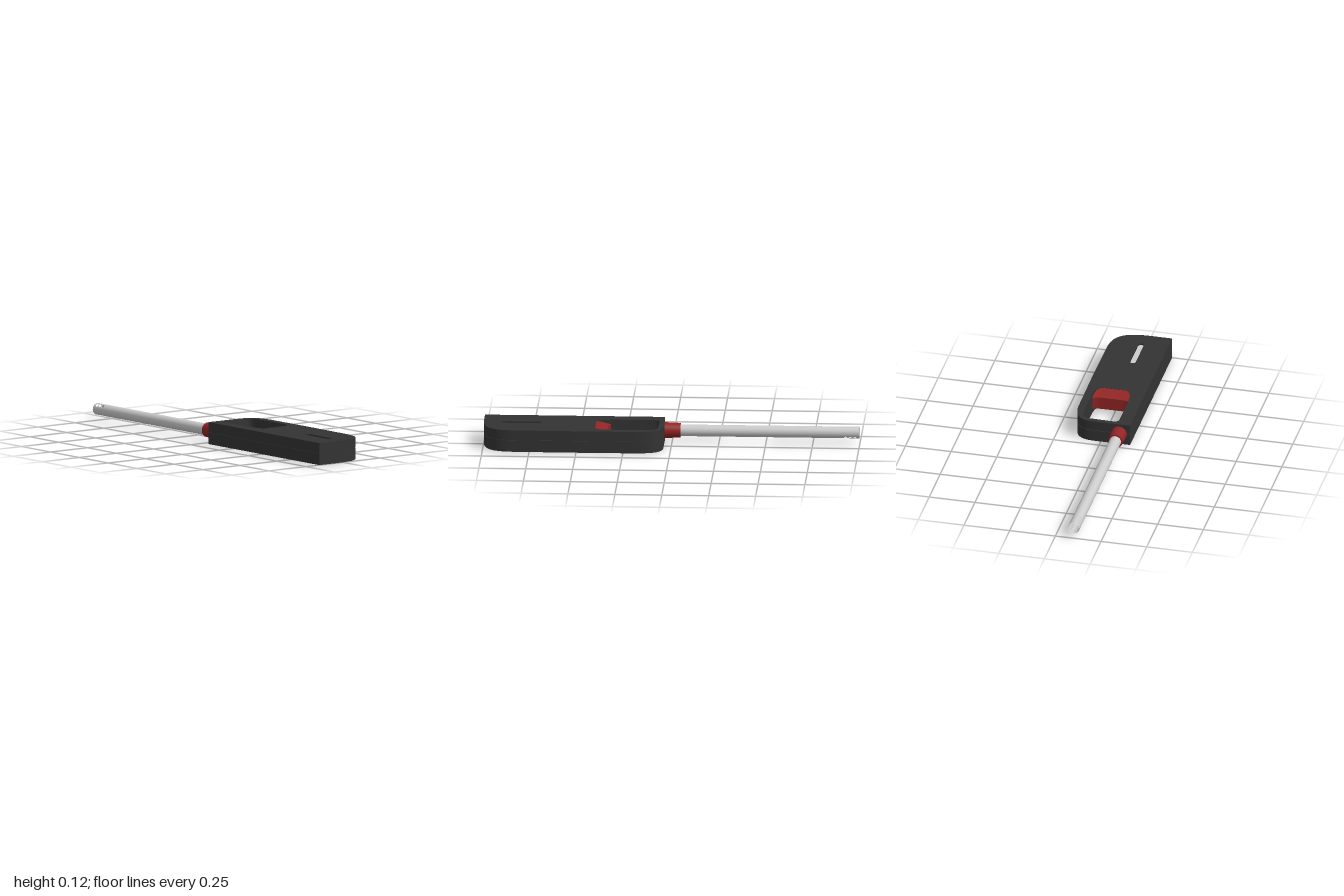
import * as THREE from 'three';
import { toCreasedNormals, mergeGeometries } from 'three/addons/utils/BufferGeometryUtils.js';
import { ParametricGeometry } from 'three/addons/geometries/ParametricGeometry.js';

const black = new THREE.MeshStandardMaterial({ color: 0x333333 });
const red = new THREE.MeshStandardMaterial({ color: 0x922424, side: THREE.DoubleSide });
const grey = new THREE.MeshStandardMaterial({ color: 0xcccccc, side: THREE.DoubleSide });

const TUBE_X = -0.1, TUBE_Y = 0.062, TUBE_R = 0.031;

function add(group, name, geometry, material) {
  const mesh = new THREE.Mesh(geometry, material);
  mesh.name = name;
  group.add(mesh);
  return mesh;
}

// Plan shapes are drawn in (x, -z) and extruded upwards
function outline(inset = 0) {
  const l = -0.16 + inset, r = 0.158 - inset, back = -0.04 - inset, front = -1 + inset;
  const s = new THREE.Shape();
  s.moveTo(l, front);
  s.lineTo(-0.03, front);
  s.bezierCurveTo(0.1, front + 0.005, r - 0.003, -0.96 + inset, r - 0.002, -0.82);
  s.lineTo(r, -0.5);
  s.lineTo(r - 0.002, -0.17);
  s.bezierCurveTo(r - 0.012, -0.075 - inset, 0.12, back - 0.002, 0.04, back);
  s.lineTo(l, back);
  s.closePath();
  return s;
}

function fingerHole() {
  const p = new THREE.Path();
  p.moveTo(-0.06, -0.065);
  p.lineTo(0.07, -0.068);
  p.quadraticCurveTo(0.108, -0.07, 0.112, -0.12);
  p.lineTo(0.116, -0.2);
  p.lineTo(0.115, -0.33);
  p.quadraticCurveTo(0.112, -0.4, 0.075, -0.402);
  p.lineTo(-0.05, -0.402);
  p.quadraticCurveTo(-0.08, -0.4, -0.085, -0.35);
  p.lineTo(-0.09, -0.31);
  p.lineTo(-0.09, -0.09);
  p.quadraticCurveTo(-0.09, -0.065, -0.06, -0.065);
  return p;
}

function windowSlot() {
  const p = new THREE.Path();
  p.absarc(-0.015, -0.71, 0.016, 0, Math.PI);
  p.absarc(-0.015, -0.895, 0.016, Math.PI, Math.PI * 2);
  p.closePath();
  return p;
}

function slab(y0, y1, inset, holes) {
  const shape = outline(inset);
  shape.holes.push(...holes);
  const g = new THREE.ExtrudeGeometry(shape, { depth: y1 - y0, bevelEnabled: false, curveSegments: 16 });
  g.rotateX(-Math.PI / 2).translate(0, y0, 0);
  return toCreasedNormals(g, 0.6);
}

// Point on the tube wall: angle t from the top, position z along it
function onTube(t, z, target) {
  target.set(TUBE_X + TUBE_R * Math.sin(t), TUBE_Y + TUBE_R * Math.cos(t), z);
}

function wall(t0, t1, z0, z1, segments) {
  return new ParametricGeometry((u, v, p) =>
    onTube(t0 + (t1 - t0) * u, z0 + (z1 - z0) * v, p), segments, 1);
}

// Square patch of the wall with a round vent in it
function ventPatch(t, z, halfT, halfZ) {
  return new ParametricGeometry((u, v, p) => {
    const a = -u * Math.PI * 2, c = Math.cos(a), s = Math.sin(a);
    const k = THREE.MathUtils.lerp(0.72, 1 / Math.max(Math.abs(c), Math.abs(s)), v);
    onTube(t + halfT * c * k, z + halfZ * s * k, p);
  }, 24, 3);
}

function tubeGeometry() {
  const parts = [];
  const halfT = 0.4, halfZ = 0.0125, first = -0.705;
  parts.push(wall(0, Math.PI * 2, -1, -0.9875, 40), wall(0, Math.PI * 2, -0.9125, -0.02, 40));
  for (const t of [first, first + Math.PI]) {
    parts.push(wall(t + halfT, t + Math.PI - halfT, -0.9875, -0.9125, 16));
    for (const z of [-0.975, -0.95, -0.925]) parts.push(ventPatch(t, z, halfT, halfZ));
  }
  return mergeGeometries(parts);
}

// Trigger face: chamfered profile swept across, with a slightly hollow front
function triggerGeometry() {
  const profile = [[0.001, 0.402], [0.025, 0.338], [0.093, 0.338], [0.117, 0.402]];
  const g = new ParametricGeometry((u, v, p) => {
    const [y, z] = profile[Math.round(v * 3)];
    const flare = 0.015 * Math.pow(Math.abs(2 * u - 1), 6);
    p.set(THREE.MathUtils.lerp(-0.092, 0.118, u), y, z - (z < 0.4 ? flare : 0));
  }, 20, 3);
  return toCreasedNormals(g, 0.5);
}

export function createModel() {
  const model = new THREE.Group();
  model.name = 'gasLighter';

  // Two shell halves with a recessed seam between them
  add(model, 'lowerShell', slab(0, 0.063, 0, [fingerHole()]), black);
  add(model, 'seam', slab(0.063, 0.067, 0.004, [fingerHole()]), black);
  add(model, 'upperShell', slab(0.067, 0.118, 0, [fingerHole(), windowSlot()]), black);

  // Fuel window set below the top surface
  const fuel = new THREE.BoxGeometry(0.04, 0.04, 0.24);
  add(model, 'fuelWindow', fuel, grey).position.set(-0.015, 0.088, 0.8025);

  add(model, 'trigger', triggerGeometry(), red);

  // Collar tapering towards the tube
  const collar = new THREE.CylinderGeometry(0.039, 0.043, 0.1, 40);
  collar.rotateX(-Math.PI / 2);
  add(model, 'collar', collar, red).position.set(TUBE_X, TUBE_Y, 0.005);

  // Open tube with two rows of vents near the tip
  add(model, 'tube', tubeGeometry(), grey);
  return model;
}
